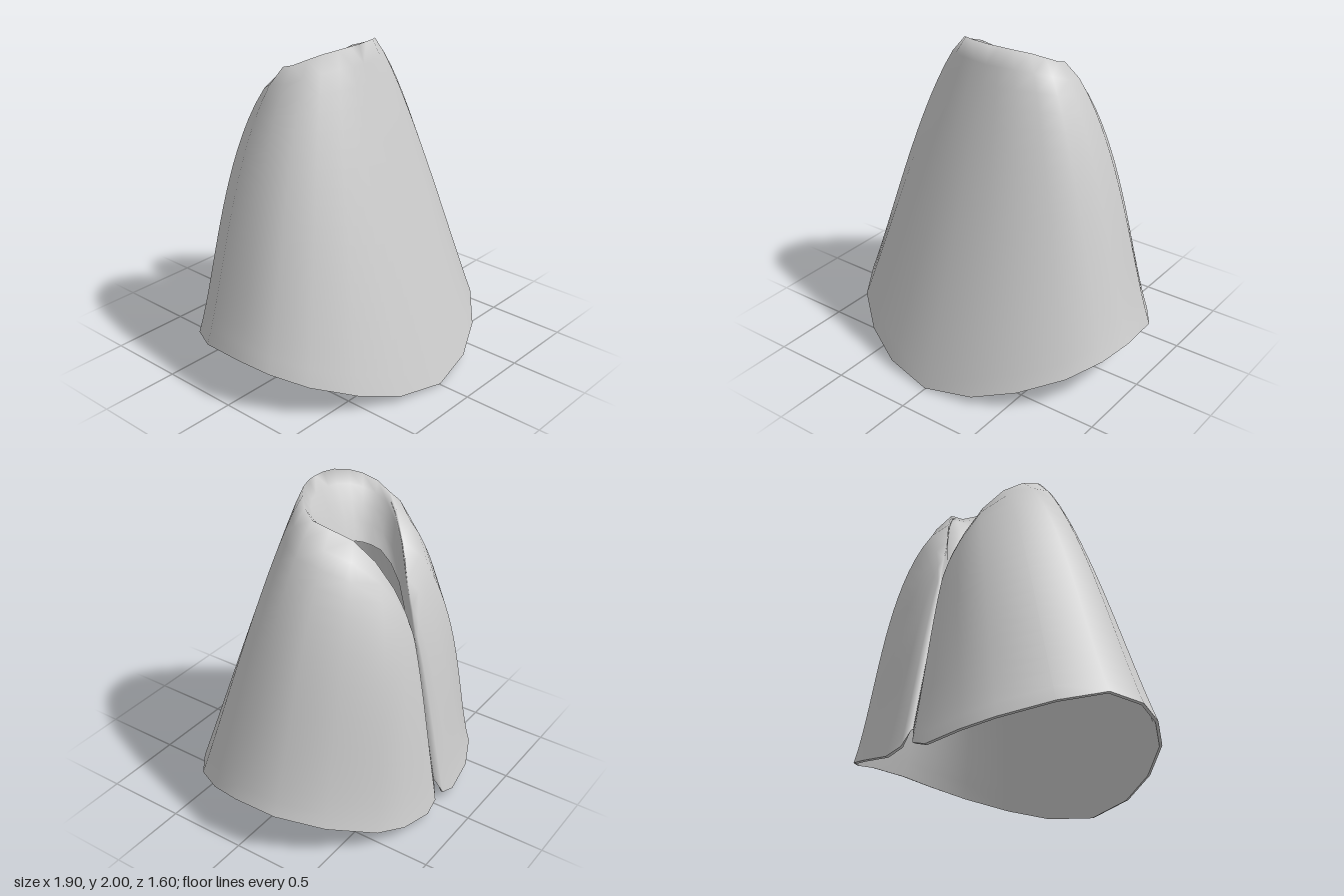
import * as THREE from 'three';

// Half outline from front centre to the back seam: [x, y, z]
const HEM = [
  [0, 0.01, 0.8], [0.31, 0.05, 0.745], [0.56, 0.125, 0.63], [0.78, 0.21, 0.45], [0.9, 0.27, 0.25],
  [0.95, 0.305, 0.05], [0.935, 0.295, -0.23], [0.78, 0.215, -0.48], [0.55, 0.125, -0.69],
  [0.37, 0.08, -0.77], [0.15, 0.045, -0.8], [0.045, 0.08, -0.79], [0.008, 0.17, -0.755], [0.006, 0.22, -0.69],
];
const SHOULDER = [
  [0, 2, 0.135], [0.07, 2, 0.13], [0.15, 1.993, 0.11], [0.23, 1.975, 0.06], [0.29, 1.945, 0.0],
  [0.325, 1.905, -0.08], [0.3, 1.87, -0.18], [0.225, 1.8, -0.28], [0.145, 1.66, -0.38],
  [0.07, 1.48, -0.46], [0.035, 1.33, -0.52], [0.015, 1.2, -0.56], [0.006, 1.15, -0.57], [0.006, 1.12, -0.535],
];
const COLLAR = [
  [0, 1.6, -0.03], [0.04, 1.6, -0.04], [0.07, 1.6, -0.055], [0.1, 1.6, -0.08], [0.13, 1.59, -0.11],
  [0.145, 1.58, -0.16], [0.155, 1.56, -0.22], [0.16, 1.49, -0.29], [0.145, 1.39, -0.36],
  [0.085, 1.26, -0.44], [0.04, 1.17, -0.5], [0.015, 1.1, -0.53], [0.006, 1.08, -0.535], [0.006, 1.07, -0.53],
];
// How far each column swells outward
const BULGE = [0, 0.02, 0.06, 0.14, 0.23, 0.29, 0.36, 0.4, 0.45, 0.27, 0.13, 0.05, 0, 0];
const WALL_ROWS = 18, LIP_ROWS = 4, THICKNESS = 0.018;

const vec = (p) => new THREE.Vector3(...p);

// Point on one column: rows up the wall, then rows rolling in over the collar
function columnPoint(k, row) {
  if (row <= WALL_ROWS) {
    const v = row / WALL_ROWS;
    const p = vec(HEM[k]).lerp(vec(SHOULDER[k]), v);
    const out = new THREE.Vector3(HEM[k][0] / 0.95, 0, HEM[k][2] / 0.8).normalize();
    return p.addScaledVector(out, BULGE[k] * Math.pow(v, 1.5) * Math.pow(1 - v, 0.6));
  }
  const t = (row - WALL_ROWS) / LIP_ROWS;
  const p = vec(SHOULDER[k]).lerp(vec(COLLAR[k]), t);
  p.y += 0.03 * Math.sin(Math.PI * t) * (k < 10 ? 1 : 0);
  return p;
}

function geometryFrom(points, index) {
  const g = new THREE.BufferGeometry().setFromPoints(points);
  g.setIndex(index);
  g.computeVertexNormals();
  return g;
}

export function createModel() {
  const cloth = new THREE.MeshStandardMaterial({ color: 0xcccccc, side: THREE.DoubleSide });
  cloth.name = 'pale grey';
  const group = new THREE.Group();
  group.name = 'cape';

  // Outer sheet, mirrored about the front centre
  const last = HEM.length - 1, cols = 2 * last + 1, rows = WALL_ROWS + LIP_ROWS + 1;
  const outer = [], index = [];
  for (let r = 0; r < rows; r++) {
    for (let j = -last; j <= last; j++) {
      const p = columnPoint(Math.abs(j), r);
      if (j < 0) p.x = -p.x;
      outer.push(p);
    }
  }
  for (let r = 0; r < rows - 1; r++) {
    for (let c = 0; c < cols - 1; c++) {
      const a = r * cols + c, b = a + 1, d = a + cols, e = d + 1;
      if (c < last) index.push(a, b, d, b, e, d);
      else index.push(a, b, e, a, e, d);
    }
  }
  const outerGeometry = geometryFrom(outer, index);

  // Lining, set in from the outer sheet by the cloth thickness
  const normals = outerGeometry.attributes.normal;
  const inner = outer.map((p, i) => {
    const q = p.clone().addScaledVector(new THREE.Vector3().fromBufferAttribute(normals, i), -THICKNESS);
    q.y = Math.max(q.y, 0);
    return q;
  });
  const innerGeometry = geometryFrom(inner, index.slice().reverse());

  // Narrow border joining both sheets around the hem, seams and collar
  const loop = [];
  for (let c = 0; c < cols - 1; c++) loop.push(c);
  for (let r = 0; r < rows - 1; r++) loop.push(r * cols + cols - 1);
  for (let c = cols - 1; c > 0; c--) loop.push((rows - 1) * cols + c);
  for (let r = rows - 1; r > 0; r--) loop.push(r * cols);
  const border = [], borderIndex = [];
  loop.forEach((id, i) => {
    border.push(outer[id], inner[id]);
    const a = 2 * i, b = 2 * ((i + 1) % loop.length);
    borderIndex.push(a, a + 1, b, b, a + 1, b + 1);
  });

  const parts = { outerCloth: outerGeometry, lining: innerGeometry, hemBorder: geometryFrom(border, borderIndex) };
  for (const [name, geometry] of Object.entries(parts)) {
    const mesh = new THREE.Mesh(geometry, cloth);
    mesh.name = name;
    group.add(mesh);
  }
  return group;
}
